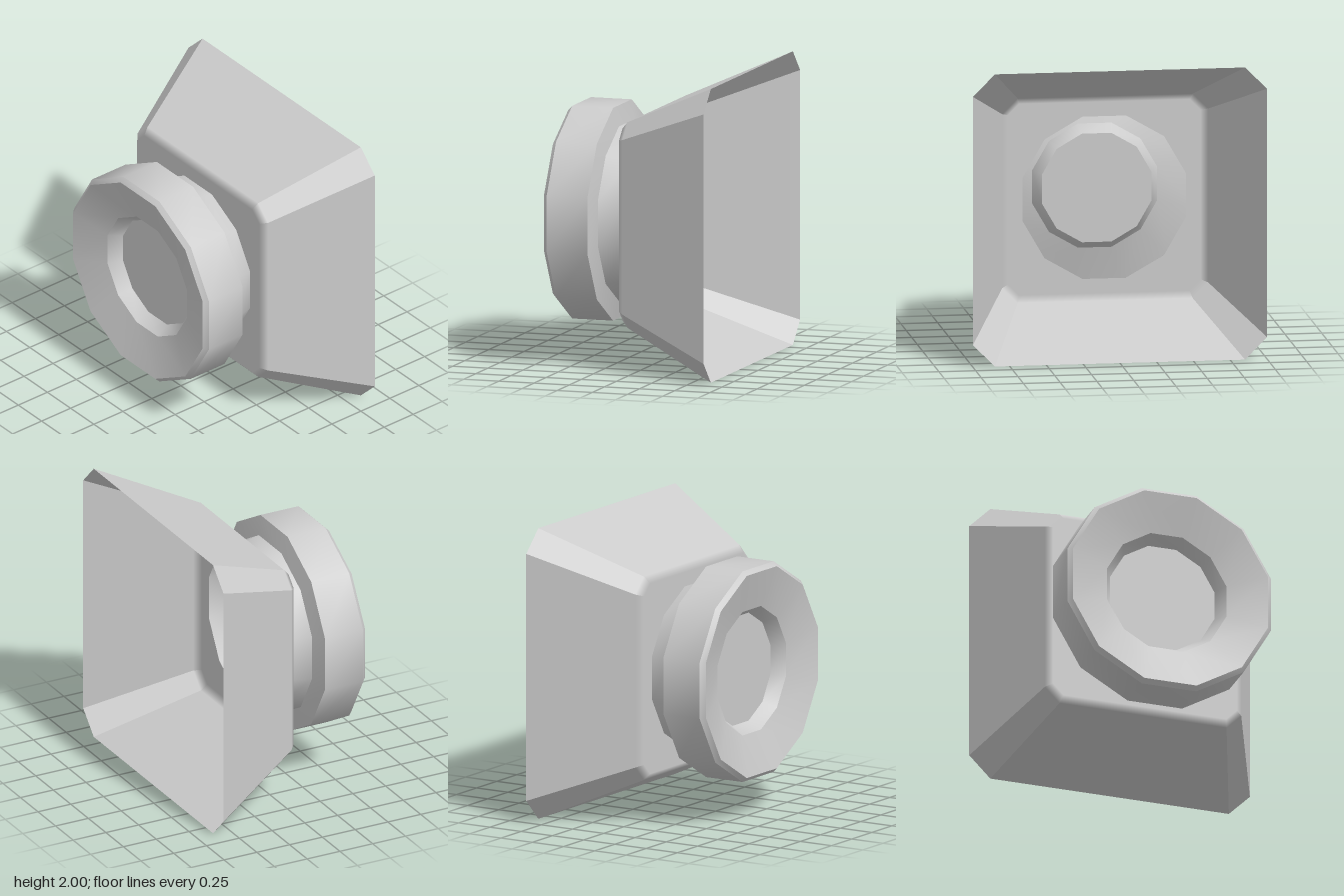
import * as THREE from 'three';
import { toCreasedNormals } from 'three/addons/utils/BufferGeometryUtils.js';

const material = new THREE.MeshStandardMaterial({ color: 0xcccccc, side: THREE.DoubleSide });
const SIDES = 12;
const TURN = Math.PI / SIDES; // puts a flat side at the top

// Square with cut corners, counter-clockwise seen from the front
function octagon(half, cut) {
  const a = half, b = half - cut;
  return [[a, -b], [a, b], [b, a], [-b, a], [-a, b], [-a, -b], [-b, -a], [b, -a]]
    .map(([x, y]) => new THREE.Vector2(x, y));
}

// Band of eight flat quads between two octagons; returns a non-indexed geometry
function band(back, zBack, front, zFront) {
  const pos = [];
  for (let i = 0; i < 8; i++) {
    const j = (i + 1) % 8;
    const a = [back[i].x, back[i].y, zBack], b = [back[j].x, back[j].y, zBack];
    const c = [front[j].x, front[j].y, zFront], d = [front[i].x, front[i].y, zFront];
    pos.push(...a, ...b, ...c, ...a, ...c, ...d);
  }
  const g = new THREE.BufferGeometry();
  g.setAttribute('position', new THREE.Float32BufferAttribute(pos, 3));
  g.computeVertexNormals();
  return g;
}

export function createModel() {
  const group = new THREE.Group();
  const add = (name, geometry) => {
    const mesh = new THREE.Mesh(geometry, material);
    mesh.name = name;
    mesh.position.y = 1;
    group.add(mesh);
  };

  const rim = octagon(1, 0.15);
  const shoulder = octagon(0.7, 0.105);
  const face = octagon(0.655, 0.075);

  // Flared hood, open at the back
  const walls = band(rim, -0.62, shoulder, 0.06);
  add('hoodWalls', walls);

  // Rounded edge: normals blend from each wall to the flat front
  const bevel = band(shoulder, 0.06, face, 0.1);
  const n = bevel.attributes.normal;
  for (let i = 0; i < n.count; i++) {
    const k = i % 6;
    if (k === 2 || k === 4 || k === 5) n.setXYZ(i, 0, 0, 1);
    else n.setXYZ(i, walls.attributes.normal.getX(i), walls.attributes.normal.getY(i), walls.attributes.normal.getZ(i));
  }
  add('hoodBevel', bevel);

  // Front plate with the opening for the neck
  const plate = new THREE.Shape(face);
  const hole = [];
  for (let i = 0; i < SIDES; i++) {
    const t = TURN - i * 2 * TURN;
    hole.push(new THREE.Vector2(0.575 * Math.cos(t), 0.575 * Math.sin(t)));
  }
  plate.holes.push(new THREE.Path(hole));
  add('frontPlate', new THREE.ShapeGeometry(plate).translate(0, 0, 0.1));

  // Neck, barrel and funnel as one turned shell: [radius, z]
  const profile = [
    [0.575, 0.1], [0.616, 0.27], [0.75, 0.3], [0.75, 0.59],
    [0.72, 0.62], [0.44, 0.54], [0.385, 0.45],
  ].map(([r, z]) => new THREE.Vector2(r, z));
  const barrel = new THREE.LatheGeometry(profile, SIDES, TURN).rotateX(Math.PI / 2);
  add('barrel', toCreasedNormals(barrel, 0.56));

  // Disc closing the funnel
  add('lens', new THREE.CircleGeometry(0.385, SIDES, TURN).translate(0, 0, 0.45));

  return group;
}
